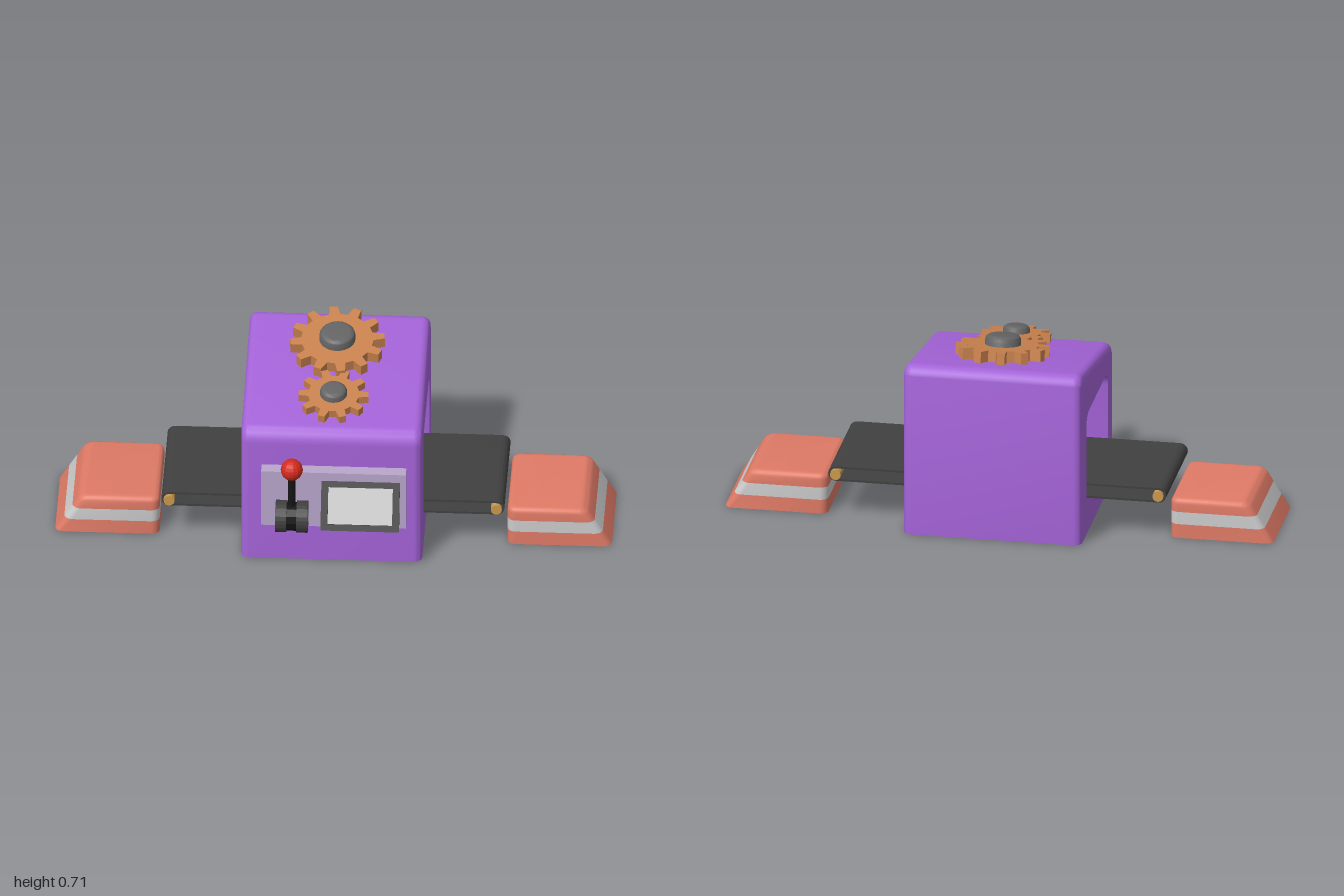
import * as THREE from 'three';
import { toCreasedNormals } from 'three/addons/utils/BufferGeometryUtils.js';

const V = (x, y, z) => new THREE.Vector3(x, y, z);
const COLORS = {
  purple: 0xa463d8, lilac: 0xb9a6cc, dark: 0x404040, black: 0x151515, hub: 0x646464,
  copper: 0xc9824e, coral: 0xdf7a66, grey: 0xc0c0c0, gold: 0xc99a4c, red: 0xd42a1c,
};

function mesh(name, geometry, color, parent, flat = false) {
  const material = new THREE.MeshStandardMaterial({ color: COLORS[color], flatShading: flat });
  const m = new THREE.Mesh(geometry, material);
  m.name = name;
  parent.add(m);
  return m;
}

function group(name, parent) {
  const g = new THREE.Group();
  g.name = name;
  parent.add(g);
  return g;
}

// Skin over loops that run counter-clockwise about the direction of travel
function loft(loops, capStart, capEnd) {
  const p = [];
  const tri = (...vs) => vs.forEach((v) => p.push(v.x, v.y, v.z));
  const n = loops[0].length;
  for (let j = 0; j + 1 < loops.length; j++) {
    for (let i = 0; i < n; i++) {
      const k = (i + 1) % n, a = loops[j], b = loops[j + 1];
      tri(a[i], a[k], b[k]);
      tri(a[i], b[k], b[i]);
    }
  }
  const first = loops[0], last = loops[loops.length - 1];
  for (let i = 1; i + 1 < n; i++) {
    if (capStart) tri(first[0], first[i + 1], first[i]);
    if (capEnd) tri(last[0], last[i], last[i + 1]);
  }
  const g = new THREE.BufferGeometry();
  g.setAttribute('position', new THREE.Float32BufferAttribute(p, 3));
  return toCreasedNormals(g, 0.6);
}

// Roof line y = ROOF - SLOPE * z
const ROOF = 0.581, SLOPE = 0.18, TILT = Math.atan(SLOPE);
const W = 0.325, ZF = 0.25, ZB = -0.405, BEVEL = 0.03;

// Side profile of the housing as [z, y], pulled in by inset
function housingProfile(inset) {
  const pts = [];
  const corner = (cz, R, a0, a1) => {
    const cy = ROOF - R * Math.hypot(1, SLOPE) - SLOPE * cz;
    for (let i = 0; i <= 8; i++) {
      const a = a0 + (a1 - a0) * i / 8;
      pts.push([cz + (R - inset) * Math.sin(a), cy + (R - inset) * Math.cos(a)]);
    }
  };
  corner(ZB + 0.045, 0.045, -Math.PI / 2, TILT);
  corner(ZF - 0.06, 0.06, TILT, Math.PI / 2);
  pts.push([ZF - inset, 0], [ZB + inset, 0]);
  return pts;
}

function addHousing(root) {
  const g = group('housing', root);
  const at = (pts, x) => pts.map(([z, y]) => V(x, y, z));
  const loops = [];
  for (const s of [-1, 1]) {
    for (let i = 0; i <= 6; i++) {
      const a = (s < 0 ? 6 - i : i) / 6 * Math.PI / 2;
      loops.push(at(housingProfile(BEVEL * (1 - Math.cos(a))), s * (W - BEVEL + BEVEL * Math.sin(a))));
    }
  }
  mesh('housingShell', loft(loops), 'purple', g);
  // Tunnel opening with rounded upper corners
  const hole = [], z0 = -0.296, z1 = 0.144, top = 0.46, r = 0.055;
  for (const [cz, a0] of [[z0 + r, -Math.PI / 2], [z1 - r, 0]]) {
    for (let i = 0; i <= 8; i++) {
      const a = a0 + i / 8 * Math.PI / 2;
      hole.push([cz + r * Math.sin(a), top - r + r * Math.cos(a)]);
    }
  }
  hole.push([z1, 0.143], [z0, 0.143]);
  const inner = [...hole].reverse();
  mesh('tunnelWalls', loft([at(inner, -W), at(inner, W)]), 'purple', g);
  for (const s of [-1, 1]) {
    const flat = (pts) => pts.map(([z, y]) => new THREE.Vector2(-s * z, y));
    const shape = new THREE.Shape(flat(housingProfile(BEVEL)));
    shape.holes.push(new THREE.Path(flat(hole)));
    const side = mesh('housingSide', new THREE.ShapeGeometry(shape), 'purple', g);
    side.rotation.y = s * Math.PI / 2;
    side.position.x = s * W;
  }
  const floor = mesh('housingFloor', new THREE.PlaneGeometry(2 * W - 0.02, ZF - ZB - 0.02), 'purple', g);
  floor.rotation.x = Math.PI / 2;
  floor.position.z = (ZF + ZB) / 2;
}

// Gear on a shaft with a rounded cap, standing on the sloping roof
function addGear(root, name, z, teeth, root_, tip, base, thick, hubR, hubTop, phase) {
  const g = group(name, root);
  g.position.set(0, ROOF - SLOPE * z, z);
  g.rotation.x = TILT;
  const pts = [], step = 2 * Math.PI / teeth;
  for (let i = 0; i < teeth; i++) {
    for (const [f, r] of [[-0.29, root_], [-0.16, tip], [0.16, tip], [0.29, root_]]) {
      const a = (i + f + phase) * step;
      pts.push(new THREE.Vector2(r * Math.cos(a), r * Math.sin(a)));
    }
  }
  const geo = new THREE.ExtrudeGeometry(new THREE.Shape(pts), { depth: thick, bevelEnabled: false });
  geo.rotateX(-Math.PI / 2).translate(0, base, 0);
  mesh('gearWheel', geo, 'copper', g, true);
  const profile = [new THREE.Vector2(hubR, -0.015)], r = 0.02;
  for (let i = 0; i <= 6; i++) {
    const a = i / 6 * Math.PI / 2;
    profile.push(new THREE.Vector2(hubR - r + r * Math.cos(a), hubTop - r + r * Math.sin(a)));
  }
  profile.push(new THREE.Vector2(0, hubTop));
  mesh('gearHub', toCreasedNormals(new THREE.LatheGeometry(profile, 24), 0.6), 'hub', g);
}

// Hollow belt loop around two end rollers
function addConveyor(root) {
  const g = group('conveyor', root);
  const y = 0.171, zMid = -0.076, cx = 0.588;
  const stadium = (path, r) => path
    .absarc(cx, y, r, -Math.PI / 2, Math.PI / 2, false)
    .absarc(-cx, y, r, Math.PI / 2, Math.PI * 1.5, false).closePath();
  const shape = stadium(new THREE.Shape(), 0.028);
  shape.holes.push(stadium(new THREE.Path(), 0.02));
  const belt = new THREE.ExtrudeGeometry(shape, { depth: 0.438, bevelEnabled: false, curveSegments: 12 });
  mesh('belt', toCreasedNormals(belt.translate(0, 0, zMid - 0.219), 0.6), 'dark', g);
  for (const s of [-1, 1]) {
    const roller = mesh('roller', new THREE.CylinderGeometry(0.02, 0.02, 0.466, 12), 'gold', g, true);
    roller.rotation.x = Math.PI / 2;
    roller.position.set(s * cx, y, zMid);
  }
}

// End block: vertical inner side, sloping outer side, grey band in the middle
function addEndBlock(root, name, turn) {
  const g = group(name, root);
  g.position.z = -0.076;
  g.rotation.y = turn;
  const ring = (y, inset = 0) => {
    const r = 0.03 - inset, x0 = 0.625 + inset, x1 = 1 - 0.615 * y - inset, h = 0.19 - inset;
    const pts = [];
    [[x1 - r, -h + r], [x0 + r, -h + r], [x0 + r, h - r], [x1 - r, h - r]].forEach(([cx, cz], q) => {
      for (let i = 0; i <= 5; i++) {
        const a = (q + i / 5) * Math.PI / 2;
        pts.push(V(cx + r * Math.cos(a), y, cz - r * Math.sin(a)));
      }
    });
    return pts;
  };
  const upper = [ring(0.1)];
  for (let i = 0; i <= 5; i++) {
    const a = i / 5 * Math.PI / 2;
    upper.push(ring(0.13 + 0.02 * Math.sin(a), 0.02 * (1 - Math.cos(a))));
  }
  mesh('blockBase', loft([ring(0), ring(0.053)], true, false), 'coral', g);
  mesh('blockBand', loft([ring(0.053), ring(0.1)]), 'grey', g);
  mesh('blockTop', loft(upper, false, true), 'coral', g);
}

function addControls(root) {
  const g = group('controlPanel', root);
  mesh('panelPlate', new THREE.BoxGeometry(0.52, 0.228, 0.048), 'lilac', g).position.set(0.01, 0.285, 0.273);

  // Slanted display: wedge, frame and screen
  const wedge = new THREE.Shape([[-0.366, 0.205], [-0.297, 0.205], [-0.297, 0.343]].map(([a, b]) => new THREE.Vector2(a, b)));
  const wedgeGeo = new THREE.ExtrudeGeometry(wedge, { depth: 0.28, bevelEnabled: false });
  mesh('displayWedge', wedgeGeo.rotateY(Math.PI / 2).translate(-0.032, 0, 0), 'dark', g, true);
  const rect = (P, w, h) => new P([[-w, -h], [w, -h], [w, h], [-w, h]].map(([a, b]) => new THREE.Vector2(a, b)));
  const frame = rect(THREE.Shape, 0.141, 0.09);
  frame.holes.push(rect(THREE.Path, 0.116, 0.067));
  const display = group('display', g);
  display.position.set(0.108, 0.286, 0.337);
  display.rotation.x = -Math.atan(0.5);
  const frameGeo = new THREE.ExtrudeGeometry(frame, { depth: 0.013, bevelEnabled: false });
  mesh('displayFrame', frameGeo.translate(0, 0, -0.013), 'dark', display, true);
  mesh('screen', new THREE.BoxGeometry(0.234, 0.136, 0.004), 'grey', display).position.z = -0.01;

  // Lever between two faceted rings
  const lever = group('lever', g);
  lever.position.set(-0.137, 0.244, 0.348);
  const ring = new THREE.Shape().absarc(0, 0, 0.058, 0, Math.PI * 2);
  ring.holes.push(new THREE.Path().absarc(0, 0, 0.042, 0, Math.PI * 2));
  for (const s of [-1, 1]) {
    const geo = new THREE.ExtrudeGeometry(ring, { depth: 0.04, bevelEnabled: false, curveSegments: 12 });
    geo.translate(0, 0, -0.02).rotateY(Math.PI / 2);
    mesh('leverRing', geo, 'dark', lever, true).position.x = s * 0.038;
    const disc = mesh('leverDisc', new THREE.CylinderGeometry(0.044, 0.044, 0.026, 12), 'grey', lever, true);
    disc.rotation.z = Math.PI / 2;
    disc.position.x = s * 0.036;
  }
  const core = mesh('leverCore', new THREE.CylinderGeometry(0.052, 0.052, 0.05, 12), 'black', lever, true);
  core.rotation.z = Math.PI / 2;
  mesh('leverStick', new THREE.CylinderGeometry(0.014, 0.014, 0.18, 8), 'black', lever, true).position.y = 0.09;
  mesh('leverKnob', new THREE.SphereGeometry(0.04, 14, 10), 'red', lever, true).position.y = 0.199;
}

export function createModel() {
  const root = new THREE.Group();
  root.name = 'conveyorMachine';
  addHousing(root);
  addGear(root, 'largeGear', -0.187, 12, 0.13, 0.17, 0.013, 0.041, 0.065, 0.09, 0.25);
  addGear(root, 'smallGear', 0.085, 10, 0.092, 0.126, 0.013, 0.03, 0.049, 0.07, 0);
  addConveyor(root);
  addEndBlock(root, 'leftEndBlock', 0);
  addEndBlock(root, 'rightEndBlock', Math.PI);
  addControls(root);
  return root;
}
